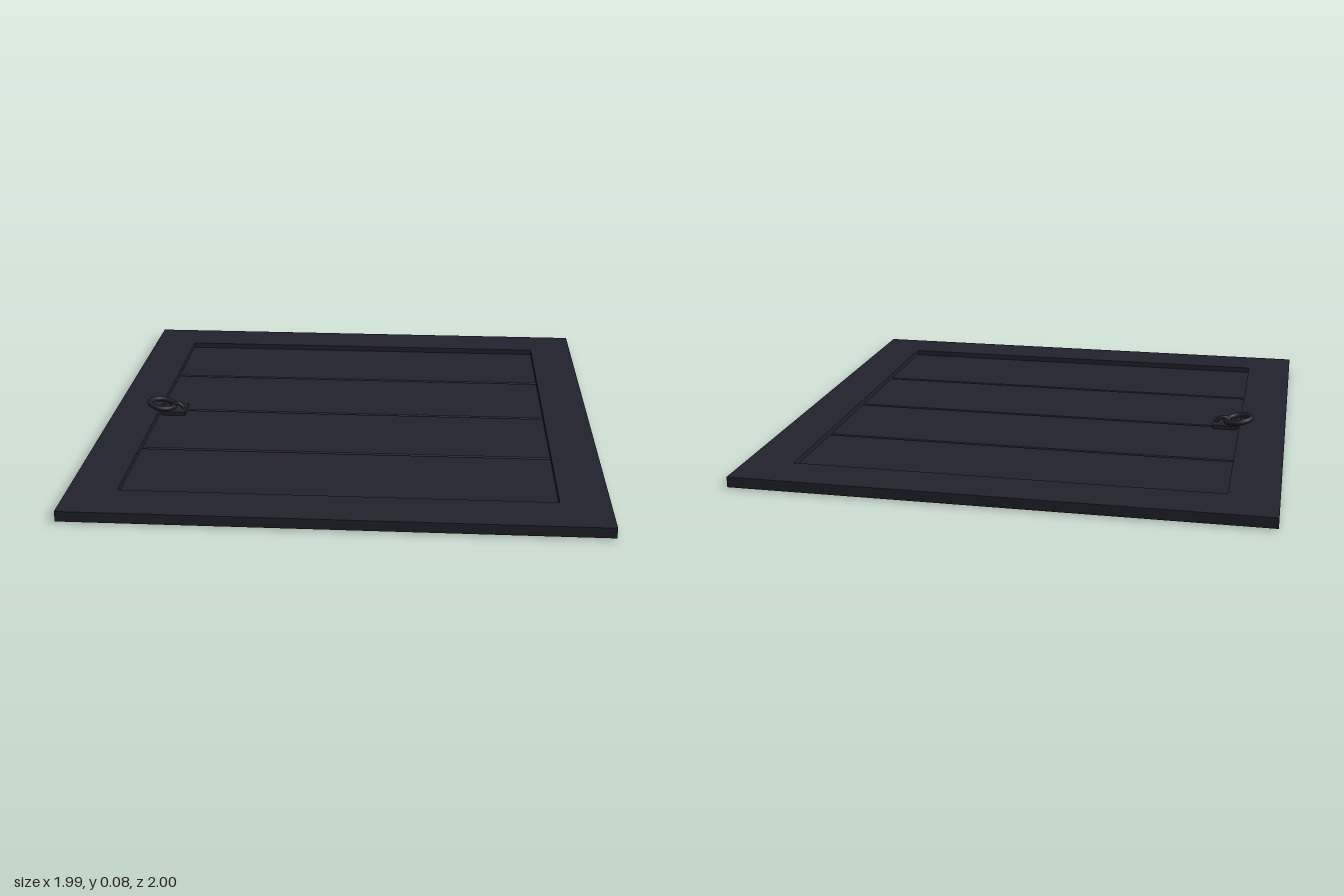
import * as THREE from 'three';

const iron = new THREE.MeshStandardMaterial({ color: 0x22222d });
iron.name = 'dark painted surface';

function part(name, geometry, parent) {
  const mesh = new THREE.Mesh(geometry, iron);
  mesh.name = name;
  parent.add(mesh);
  return mesh;
}

// Rectangle outline centred on the origin
function rectangle(PathType, halfW, halfH) {
  const p = new PathType();
  p.moveTo(-halfW, -halfH);
  p.lineTo(halfW, -halfH);
  p.lineTo(halfW, halfH);
  p.lineTo(-halfW, halfH);
  p.closePath();
  return p;
}

// Plank along x with chamfered long edges
function plankGeometry(width, height, length) {
  const w = width / 2, h = height / 2, c = 0.007;
  const profile = new THREE.Shape([
    [-w + c, -h], [w - c, -h], [w, -h + c], [w, h - c],
    [w - c, h], [-w + c, h], [-w, h - c], [-w, -h + c],
  ].map(([x, y]) => new THREE.Vector2(x, y)));
  return new THREE.ExtrudeGeometry(profile, { depth: length, bevelEnabled: false })
    .translate(0, 0, -length / 2)
    .rotateY(Math.PI / 2);
}

export function createModel() {
  const model = new THREE.Group();
  model.name = 'hatch';

  // Square frame with an opening
  const outline = rectangle(THREE.Shape, 0.995, 1);
  outline.holes.push(rectangle(THREE.Path, 0.81, 0.812));
  const frame = new THREE.ExtrudeGeometry(outline, { depth: 0.04, bevelEnabled: false })
    .rotateX(-Math.PI / 2).translate(0, 0.005, 0);
  part('frame', frame, model);

  // Four planks, recessed above and slightly proud below
  const planks = new THREE.Group();
  planks.name = 'planks';
  model.add(planks);
  const seams = [-0.812, -0.42, -0.015, 0.39, 0.812];
  for (let i = 0; i < 4; i++) {
    const plank = part('plank', plankGeometry(seams[i + 1] - seams[i], 0.025, 1.7), planks);
    plank.position.set(0, 0.0125, (seams[i] + seams[i + 1]) / 2);
  }

  // Pull ring hinged on a staple and its plate
  const handle = new THREE.Group();
  handle.name = 'handle';
  model.add(handle);

  const plate = part('staplePlate', new THREE.BoxGeometry(0.1, 0.018, 0.1), handle);
  plate.position.set(-0.75, 0.032, 0);

  const staple = part('staple', new THREE.TorusGeometry(0.028, 0.008, 8, 20, Math.PI), handle);
  staple.position.set(-0.742, 0.034, 0);

  const ring = part('pullRing', new THREE.TorusGeometry(0.052, 0.011, 10, 36).rotateX(Math.PI / 2), handle);
  ring.position.set(-0.805, 0.058, 0);
  ring.rotation.z = -0.17;

  return model;
}
